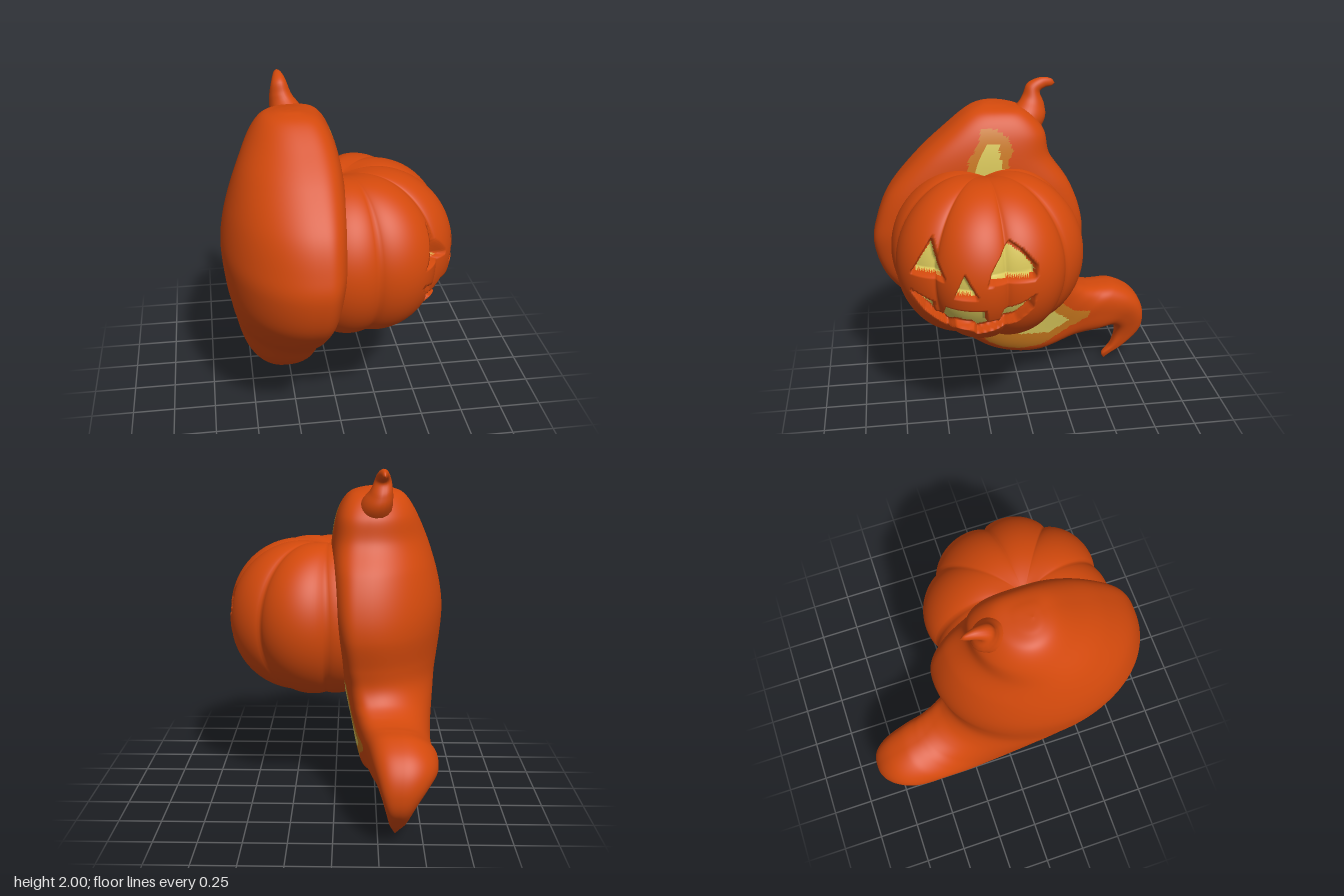
import * as THREE from 'three';

const mat = (name, color) => Object.assign(new THREE.MeshStandardMaterial({ color }), { name });

// Flat outlines are lists of [z, y] points
const inside = (poly, z, y) => {
  let hit = false;
  for (let i = 0, j = poly.length - 1; i < poly.length; j = i++) {
    const [az, ay] = poly[i], [bz, by] = poly[j];
    if ((ay > y) !== (by > y) && z < (bz - az) * (y - ay) / (by - ay) + az) hit = !hit;
  }
  return hit;
};
const edgeDistance = (poly, z, y) => {
  let best = Infinity;
  for (let i = 0, j = poly.length - 1; i < poly.length; j = i++) {
    const [az, ay] = poly[i], [bz, by] = poly[j];
    const dz = bz - az, dy = by - ay;
    const k = THREE.MathUtils.clamp(((z - az) * dz + (y - ay) * dy) / (dz * dz + dy * dy), 0, 1);
    best = Math.min(best, Math.hypot(z - az - k * dz, y - ay - k * dy));
  }
  return best;
};

// Closed-loop skin: point(row 0..1, column 0..1), paint(x, y, z) picks a material index
function skin(name, rows, cols, point, materials, paint) {
  const pos = [], faces = materials.map(() => []);
  for (let i = 0; i <= rows; i++)
    for (let j = 0; j < cols; j++) pos.push(...point(i / rows, j / cols));
  const tri = (...v) => {
    const mid = [0, 1, 2].map(k => v.reduce((s, n) => s + pos[n * 3 + k], 0) / 3);
    faces[paint(...mid)].push(...v);
  };
  for (let i = 0; i < rows; i++)
    for (let j = 0; j < cols; j++) {
      const a = i * cols + j, b = i * cols + (j + 1) % cols, c = a + cols, d = b + cols;
      tri(a, c, b);
      tri(b, c, d);
    }
  const geo = new THREE.BufferGeometry();
  geo.setAttribute('position', new THREE.Float32BufferAttribute(pos, 3));
  geo.setIndex(faces.flat());
  let start = 0;
  faces.forEach((f, i) => { geo.addGroup(start, f.length, i); start += f.length; });
  geo.computeVertexNormals();
  const mesh = new THREE.Mesh(geo, materials);
  mesh.name = name;
  return mesh;
}

// Loft between two side lines; depths give [centreX, frontDepth, backDepth] evenly along them
function loft(name, leftLine, rightLine, depths, flatness, rows, cols, materials, paint) {
  const curve = points => new THREE.CatmullRomCurve3(points, false, 'catmullrom', 0.5);
  const side = line => curve(line.map(([z, y]) => new THREE.Vector3(0, y, z)));
  const left = side(leftLine), right = side(rightLine);
  const depth = curve(depths.map(d => new THREE.Vector3(...d)));
  return skin(name, rows, cols, (v, u) => {
    const L = left.getPoint(v), R = right.getPoint(v), D = depth.getPoint(v);
    // two thirds of the columns go to the front
    const t = Math.PI * (u < 2 / 3 ? u * 1.5 : 3 * u - 1);
    const c = Math.cos(t), s = Math.sin(t);
    const e = s > 0 ? flatness : 1;
    const w = Math.sign(c) * Math.abs(c) ** e;
    const x = D.x + (s > 0 ? D.y * s ** e : D.z * s);
    return [x, (L.y + R.y + w * (L.y - R.y)) / 2, (L.z + R.z + w * (L.z - R.z)) / 2];
  }, materials, paint);
}

// Flame body from the crown down and round into the curled tail
const BODY_LEFT = [
  [0.16, 1.875], [0.22, 1.87], [0.31, 1.835], [0.44, 1.735], [0.61, 1.585], [0.78, 1.39], [0.86, 1.2], [0.88, 1.05],
  [0.82, 0.85], [0.68, 0.68], [0.5, 0.52], [0.35, 0.35], [0.15, 0.21], [-0.1, 0.165], [-0.35, 0.245], [-0.52, 0.27],
  [-0.62, 0.29], [-0.68, 0.265], [-0.69, 0.2], [-0.66, 0.11], [-0.605, 0.045], [-0.62, 0.002],
];
const BODY_RIGHT = [
  [0.16, 1.875], [0.06, 1.862], [-0.05, 1.83], [-0.15, 1.72], [-0.185, 1.57], [-0.3, 1.4], [-0.37, 1.22], [-0.39, 1.05],
  [-0.355, 0.87], [-0.345, 0.76], [-0.38, 0.68], [-0.45, 0.63], [-0.52, 0.608], [-0.58, 0.603], [-0.67, 0.59], [-0.78, 0.53],
  [-0.85, 0.44], [-0.875, 0.33], [-0.85, 0.22], [-0.75, 0.11], [-0.66, 0.04], [-0.62, 0.002],
];
const BODY_DEPTH = [
  [-0.25, 0, 0], [-0.2, 0.19, 0.28], [-0.15, 0.18, 0.5], [-0.2, 0.155, 0.41],
  [-0.33, 0.205, 0.24], [-0.38, 0.17, 0.2], [-0.36, 0.07, 0.08], [-0.35, 0, 0],
];

// Curled tip on the crown
const TIP_LEFT = [[-0.235, 1.962], [-0.21, 1.99], [-0.145, 1.998], [-0.07, 1.965], [-0.04, 1.9], [0, 1.85], [0.12, 1.76]];
const TIP_RIGHT = [[-0.235, 1.962], [-0.215, 1.945], [-0.175, 1.937], [-0.145, 1.91], [-0.17, 1.84], [-0.165, 1.75], [-0.06, 1.6]];
const TIP_DEPTH = [[-0.28, 0, 0], [-0.275, 0.03, 0.03], [-0.265, 0.065, 0.065], [-0.21, 0.12, 0.12]];

// Glow on the front of the flame, above and below the pumpkin
const AMBER = [
  [[0.34, 1.45], [0.31, 1.6], [0.25, 1.69], [0.235, 1.77], [0.15, 1.765], [0.08, 1.72], [0.05, 1.64], [0.09, 1.58], [0.03, 1.45]],
  [[0.5, 0.68], [0.42, 0.6], [0.3, 0.46], [0.2, 0.31], [0.1, 0.255], [0, 0.235], [-0.15, 0.255], [-0.31, 0.365],
    [-0.46, 0.43], [-0.475, 0.475], [-0.36, 0.5], [-0.26, 0.59], [-0.2, 0.8], [0.3, 0.9]],
];
const YELLOW = [
  [[0.32, 1.45], [0.24, 1.6], [0.21, 1.69], [0.14, 1.685], [0.13, 1.62], [0.09, 1.45]],
  [[0.44, 0.66], [0.31, 0.54], [0.17, 0.38], [0.12, 0.415], [0.06, 0.405], [0, 0.365], [-0.2, 0.355],
    [-0.33, 0.435], [-0.21, 0.53], [-0.18, 0.8], [0.3, 0.9]],
];

// Carved holes; the glowing floor starts below a bevel on the side given by shift
const CUTS = [
  { shift: 0.04, outline: [[0.68, 1.115], [0.63, 1.21], [0.555, 1.33], [0.535, 1.22], [0.495, 1.115]] },
  { shift: 0.04, outline: [[0.275, 1.11], [0.255, 1.18], [0.155, 1.33], [0.08, 1.28], [0.005, 1.19], [0.01, 1.12]] },
  { shift: 0.02, outline: [[0.455, 1.035], [0.4, 1.17], [0.325, 1.03]] },
  { shift: -0.035, outline: [[0.69, 1.015], [0.56, 0.955], [0.555, 0.89], [0.515, 0.88], [0.5, 0.95], [0.285, 0.95], [0.28, 0.875],
    [0.21, 0.87], [0.19, 0.94], [0.1, 0.975], [0.016, 1.025], [0.03, 0.94], [0.11, 0.85], [0.22, 0.8], [0.33, 0.77],
    [0.35, 0.8], [0.44, 0.81], [0.48, 0.78], [0.53, 0.82], [0.61, 0.895]] },
];
const onFloor = ({ shift, outline }, z, y) =>
  inside(outline, z, y) && inside(outline, z, y + shift) && edgeDistance(outline, z, y) > 0.01;

// Ribbed pumpkin with the face pressed in; columns are denser around the face
function pumpkinPoint(v, u) {
  const s = 2 * u - 1, turn = Math.PI * s * (0.45 + 0.55 * s * s);
  const phi = 0.28 - turn, theta = Math.PI * v;
  const sin = Math.max(Math.sin(theta), 0), cos = Math.cos(theta);
  const groove = 1 - Math.abs(Math.cos(4 * turn)) ** 0.6;
  const r = 0.565 * sin ** 0.9 * (1 - 0.09 * groove);
  const h = 0.502 * cos * (1 - 0.15 * (1 - sin) ** 4) * (1 - 0.05 * groove * sin);
  // the stem end leans back into the flame
  let x = 0.11 - 0.08 * (1 - sin) ** 2 + r * Math.cos(phi);
  const y = 1.08 + h, z = 0.225 + r * Math.sin(phi);
  if (x > 0.25)
    for (const { outline } of CUTS)
      if (inside(outline, z, y)) x -= 0.08 * THREE.MathUtils.smoothstep(edgeDistance(outline, z, y), -0.004, 0.016);
  return [x, y, z];
}

export function createModel() {
  const orange = mat('pumpkin orange', 0xd3490c);
  const amber = mat('amber glow', 0xc9781e);
  const yellow = mat('yellow glow', 0xd8c65a);
  const group = new THREE.Group();
  group.name = 'flamingPumpkin';

  const glow = (x, y, z) => {
    if (x < -0.25) return 0;
    if (YELLOW.some(p => inside(p, z, y))) return 2;
    return AMBER.some(p => inside(p, z, y)) ? 1 : 0;
  };
  const carving = (x, y, z) => (x > 0.2 && CUTS.some(cut => onFloor(cut, z, y)) ? 1 : 0);
  group.add(loft('flameBody', BODY_LEFT, BODY_RIGHT, BODY_DEPTH, 0.62, 260, 144, [orange, amber, yellow], glow));
  group.add(loft('flameTip', TIP_LEFT, TIP_RIGHT, TIP_DEPTH, 1, 40, 24, [orange], () => 0));
  group.add(skin('carvedPumpkin', 150, 220, pumpkinPoint, [orange, yellow], carving));
  return group;
}
